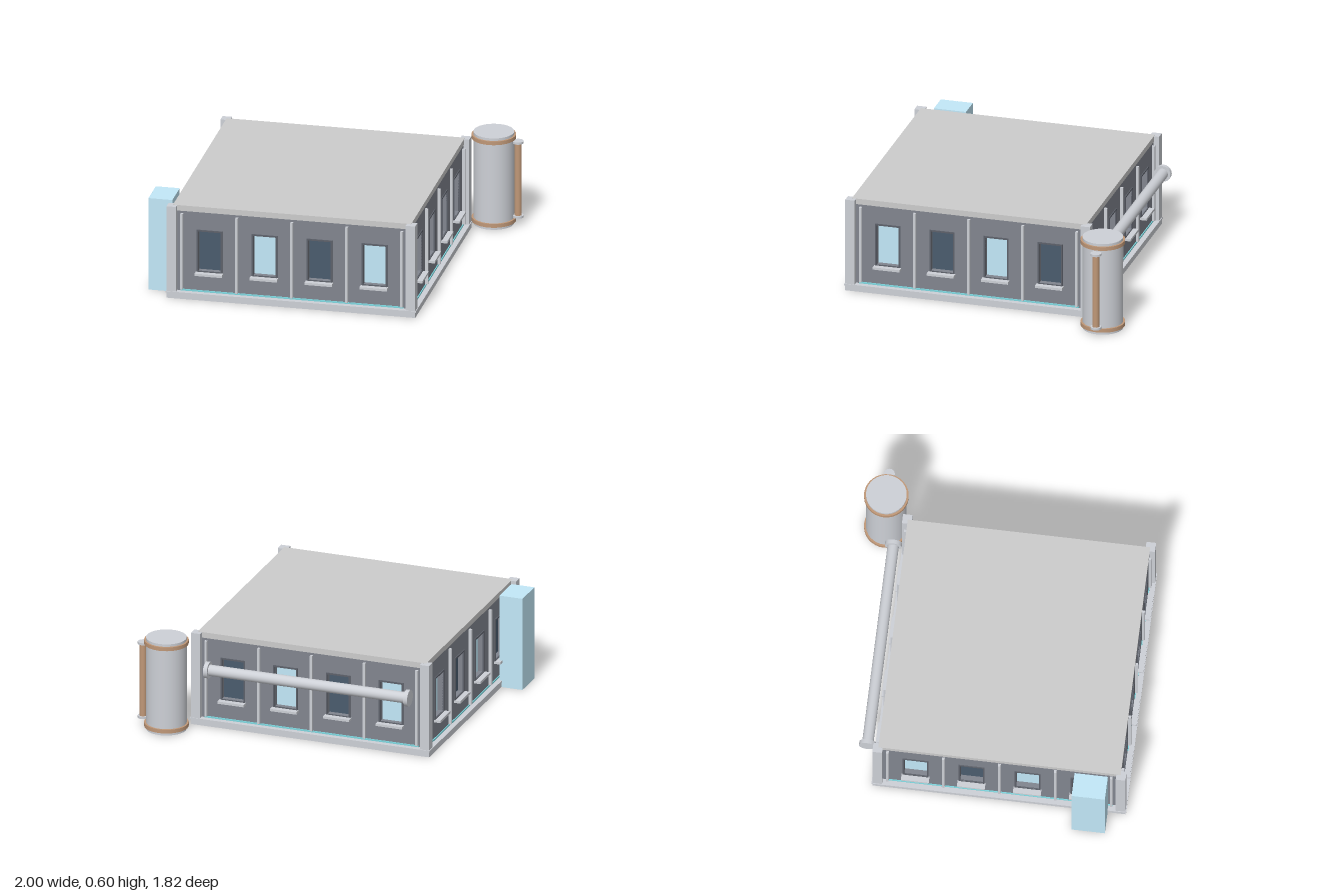
import * as THREE from 'three';

const mat = (color, side = THREE.FrontSide) => new THREE.MeshStandardMaterial({ color, side });
const M = {
  grey: mat(0xcccccc), trim: mat(0xcdd0d6), wall: mat(0x81858f), frame: mat(0x5d616a),
  dark: mat(0x4a5c6e), light: mat(0xc2e8f8), glow: mat(0x7fd8e0), copper: mat(0xc09878),
};

function add(parent, name, geo, material, x = 0, y = 0, z = 0) {
  const m = new THREE.Mesh(geo, material);
  m.name = name;
  m.position.set(x, y, z);
  parent.add(m);
  return m;
}
// box given by its min and max corners
function box(parent, name, material, x0, x1, y0, y1, z0, z1) {
  return add(parent, name, new THREE.BoxGeometry(x1 - x0, y1 - y0, z1 - z0), material,
    (x0 + x1) / 2, (y0 + y1) / 2, (z0 + z1) / 2);
}
function rect(Type, x0, x1, y0, y1) {
  const s = new Type();
  s.moveTo(x0, y0); s.lineTo(x1, y0); s.lineTo(x1, y1); s.lineTo(x0, y1); s.closePath();
  return s;
}
const extrude = (shape, depth) => new THREE.ExtrudeGeometry(shape, { depth, bevelEnabled: false });
const cyl = (r, h, n = 32) => new THREE.CylinderGeometry(r, r, h, n);

const HALF = 0.78;      // outer half width of the building
const FACE = 0.745;     // wall face
const BAY = 0.345;      // window spacing
const WIN = { w: 0.07, y0: 0.18, y1: 0.44 };

// one facade, facing +z, with four windows
function facade(index) {
  const g = new THREE.Group();
  g.name = 'facade';
  const shape = rect(THREE.Shape, -FACE, FACE, 0.03, 0.57);
  for (let k = 0; k < 4; k++) {
    const x = (k - 1.5) * BAY;
    shape.holes.push(rect(THREE.Path, x - WIN.w, x + WIN.w, WIN.y0, WIN.y1));

    const frame = rect(THREE.Shape, x - 0.08, x + 0.08, WIN.y0 - 0.01, WIN.y1 + 0.01);
    frame.holes.push(rect(THREE.Path, x - WIN.w, x + WIN.w, WIN.y0, WIN.y1));
    add(g, 'windowFrame', extrude(frame, 0.01), M.frame, 0, 0, FACE - 0.004);

    const glass = (k + index) % 2 === 0 ? M.dark : M.light;
    box(g, 'windowGlass', glass, x - 0.075, x + 0.075, WIN.y0 - 0.005, WIN.y1 + 0.005, FACE - 0.05, FACE - 0.035);
    box(g, 'windowSill', M.trim, x - 0.086, x + 0.086, 0.16, 0.175, FACE - 0.02, HALF + 0.006);
  }
  add(g, 'wall', extrude(shape, 0.045), M.wall, 0, 0, FACE - 0.045);

  // vertical ribs between the bays
  for (let k = 0; k < 5; k++) {
    const x = (k - 2) * BAY;
    box(g, 'wallRib', M.trim, x - 0.008, x + 0.008, 0.055, 0.55, FACE - 0.005, FACE + 0.018);
  }
  box(g, 'lightStrip', M.glow, -0.7, 0.7, 0.044, 0.054, FACE - 0.005, FACE + 0.006);
  box(g, 'baseLedge', M.trim, -HALF - 0.005, HALF + 0.005, 0.034, 0.044, FACE - 0.02, HALF + 0.005);

  // corner post at the right end
  box(g, 'cornerPost', M.trim, HALF - 0.06, HALF, 0.04, 0.6, HALF - 0.06, HALF);
  return g;
}

function building() {
  const g = new THREE.Group();
  g.name = 'building';
  box(g, 'foundation', M.trim, -HALF, HALF, 0, 0.036, -HALF, HALF);
  box(g, 'roof', M.grey, -FACE - 0.002, FACE + 0.002, 0.565, 0.601, -FACE - 0.002, FACE + 0.002);
  for (let i = 0; i < 4; i++) {
    const f = facade(i);
    f.rotation.y = i * Math.PI / 2;
    g.add(f);
  }
  g.position.set(-0.082, 0, 0.122);
  return g;
}

// upright tank with copper hoops and a side pipe
function tank() {
  const g = new THREE.Group();
  g.name = 'tank';
  add(g, 'tankBody', cyl(0.125, 0.6), M.trim, 0, 0.3, 0);
  for (const y of [0.03, 0.572]) add(g, 'tankHoop', cyl(0.137, 0.024), M.copper, 0, y, 0);
  add(g, 'sidePipe', cyl(0.022, 0.48, 16), M.copper, 0.152, 0.3, 0);
  for (const y of [0.057, 0.543]) add(g, 'sidePipeCollar', cyl(0.034, 0.014, 16), M.trim, 0.152, y, 0);
  g.position.set(0.813, 0, -0.775);
  return g;
}

// horizontal pipe along the back wall
function backPipe() {
  const g = new THREE.Group();
  g.name = 'backPipe';
  add(g, 'pipe', cyl(0.035, 1.32, 20), M.trim);
  for (const s of [-1, 1]) add(g, 'pipeFlange', cyl(0.052, 0.026, 20), M.trim, 0, s * 0.655, 0);
  g.rotation.z = Math.PI / 2;
  g.position.set(-0.085, 0.39, -0.702);
  return g;
}

// tall cabinet with two doors
function cabinet() {
  const g = new THREE.Group();
  g.name = 'cabinet';
  box(g, 'cabinetBody', M.light, -0.994, -0.85, 0, 0.6, 0.587, 0.792);
  for (const [z0, z1] of [[0.587, 0.687], [0.692, 0.792]]) {
    box(g, 'cabinetDoor', M.light, -1, -0.99, 0, 0.6, z0, z1);
  }
  return g;
}

export function createModel() {
  const model = new THREE.Group();
  model.name = 'buildingFloor';
  model.add(building(), tank(), backPipe(), cabinet());
  return model;
}
